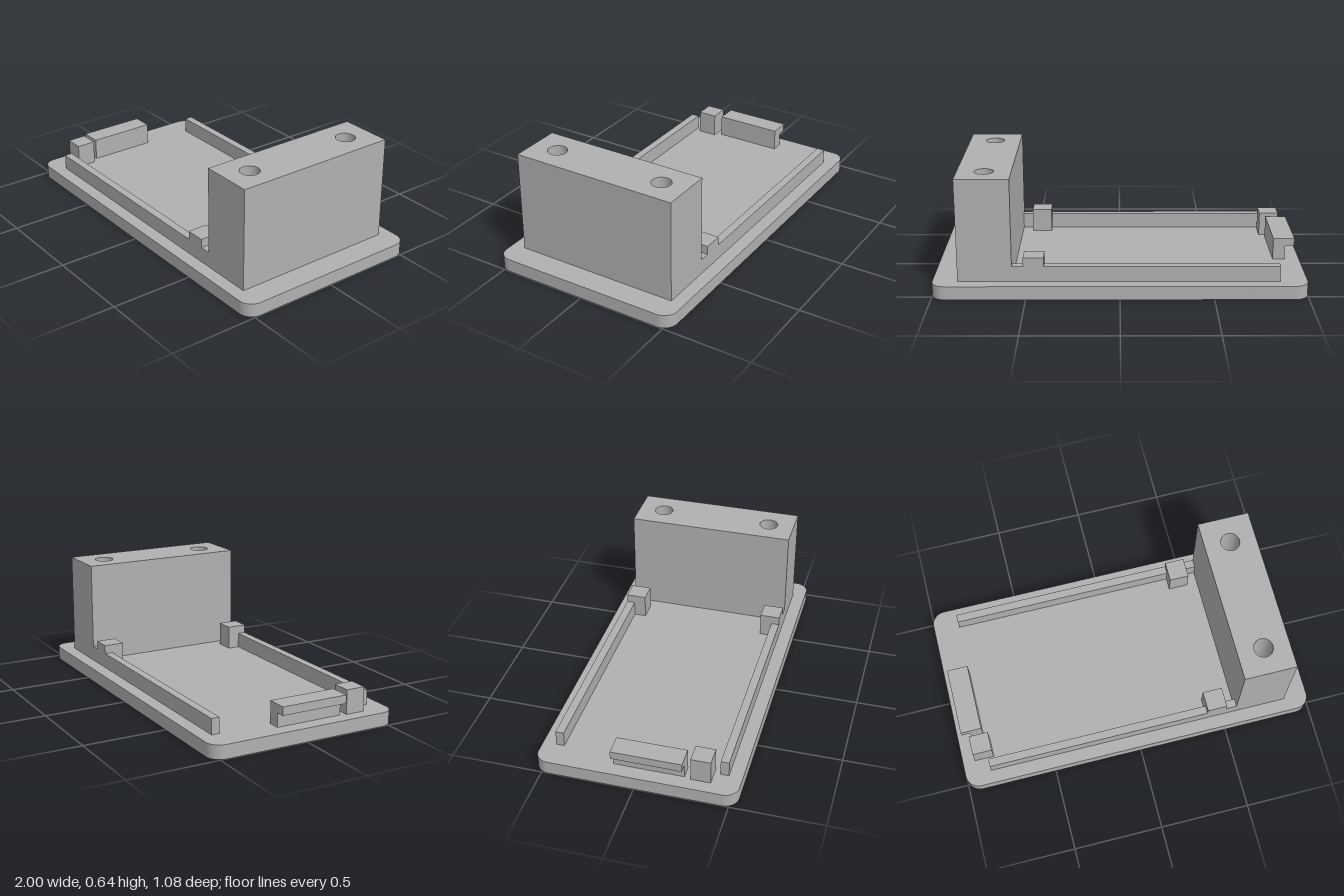
import * as THREE from 'three';
import { toCreasedNormals } from 'three/addons/utils/BufferGeometryUtils.js';

const BASE_TOP = 0.075;

export function createModel() {
  const model = new THREE.Group();
  model.name = 'mountingTray';
  const grey = new THREE.MeshStandardMaterial({ color: 0xb0b0b0 });
  grey.name = 'plain grey';

  function add(name, geometry) {
    const mesh = new THREE.Mesh(geometry, grey);
    mesh.name = name;
    model.add(mesh);
    return mesh;
  }

  // Box given by its limits on each axis
  function box(name, [x0, x1], [y0, y1], [z0, z1]) {
    const mesh = add(name, new THREE.BoxGeometry(x1 - x0, y1 - y0, z1 - z0));
    mesh.position.set((x0 + x1) / 2, (y0 + y1) / 2, (z0 + z1) / 2);
    return mesh;
  }

  // Plan outline (x, -z) raised from y0 to y1
  function raise(name, shape, y0, y1) {
    let geometry = new THREE.ExtrudeGeometry(shape, { depth: y1 - y0, bevelEnabled: false, curveSegments: 12 });
    geometry.rotateX(-Math.PI / 2).translate(0, y0, 0);
    return add(name, toCreasedNormals(geometry, 0.6));
  }

  // Base plate with rounded corners
  const w = 1, d = 0.54, r = 0.075;
  const plate = new THREE.Shape();
  plate.absarc(w - r, d - r, r, 0, Math.PI / 2);
  plate.absarc(-w + r, d - r, r, Math.PI / 2, Math.PI);
  plate.absarc(-w + r, -d + r, r, Math.PI, Math.PI * 1.5);
  plate.absarc(w - r, -d + r, r, Math.PI * 1.5, Math.PI * 2);
  plate.closePath();
  raise('basePlate', plate, 0, BASE_TOP);

  // Tall block with two screw holes in its top
  const block = new THREE.Shape([
    new THREE.Vector2(0.575, -0.467), new THREE.Vector2(0.865, -0.467),
    new THREE.Vector2(0.865, 0.467), new THREE.Vector2(0.575, 0.467),
  ]);
  for (const z of [-0.32, 0.32]) {
    block.holes.push(new THREE.Path().absarc(0.72, z, 0.053, 0, Math.PI * 2, true));
  }
  raise('mountBlock', block, BASE_TOP, 0.642);

  // Side rails, each with a clip standing against its inner face
  for (const side of [-1, 1]) {
    const span = (a, b) => (side > 0 ? [a, b] : [-b, -a]);
    box('sideRail', [-0.853, 0.575], [BASE_TOP, 0.16], span(0.422, 0.467));
    box('clipLeg', [0.405, 0.515], [BASE_TOP, 0.16], span(0.355, 0.422));
    box('clipCap', [0.405, 0.515], [0.16, 0.208], span(0.355, 0.467));
  }

  // Corner post
  box('cornerPost', [-0.93, -0.822], [BASE_TOP, 0.208], [0.283, 0.39]);

  // End catch: upright with a lip overhanging outward
  const catchShape = new THREE.Shape([
    [-0.853, BASE_TOP], [-0.853, 0.198], [-0.97, 0.198],
    [-0.97, 0.152], [-0.92, 0.152], [-0.92, BASE_TOP],
  ].map(([x, y]) => new THREE.Vector2(x, y)));
  const endCatch = add('endCatch', new THREE.ExtrudeGeometry(catchShape, { depth: 0.38, bevelEnabled: false }));
  endCatch.position.z = -0.13;

  return model;
}
